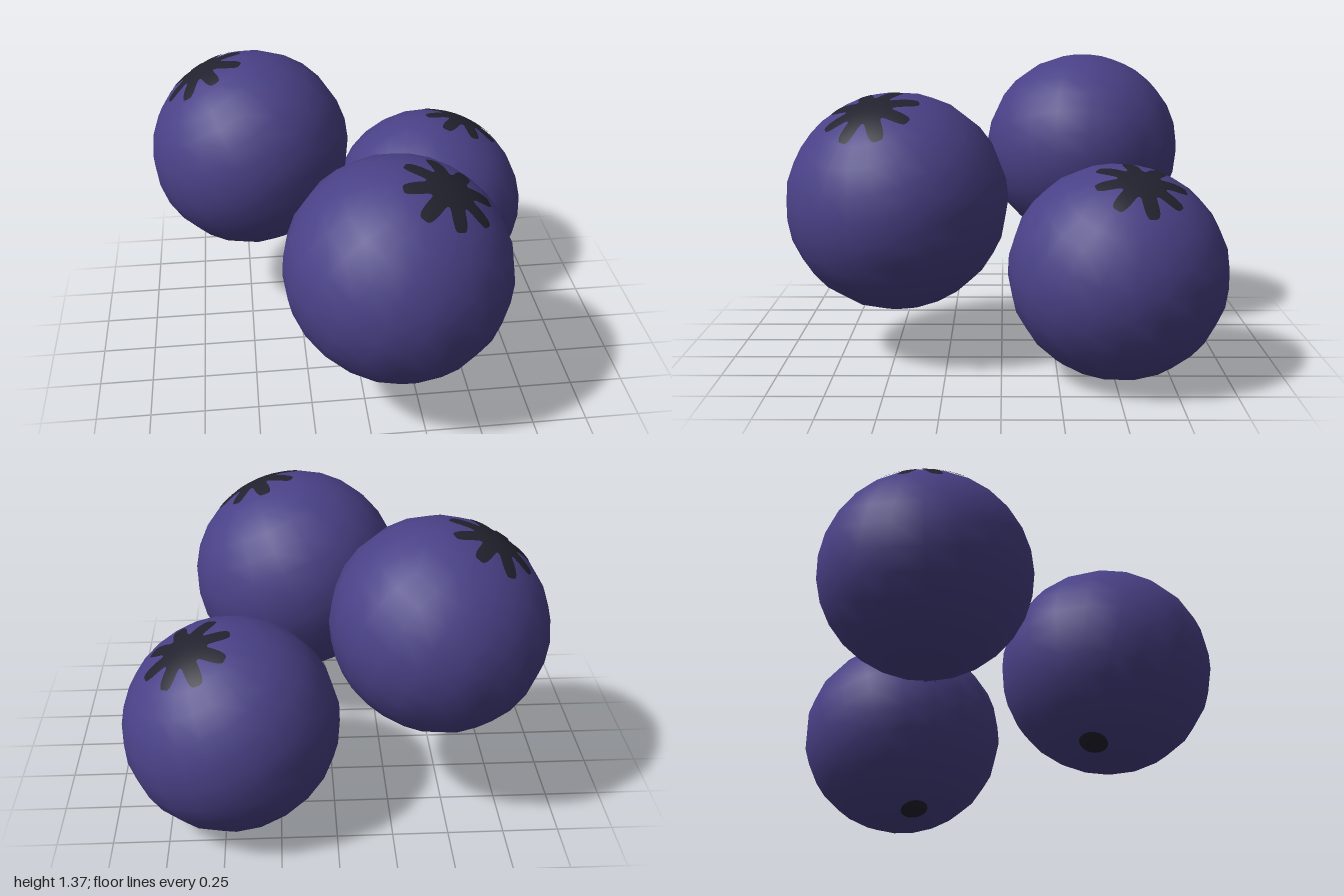
import * as THREE from 'three';

const skin = new THREE.MeshStandardMaterial({ color: 0x494187 });
skin.name = 'berry blue';
const dark = new THREE.MeshStandardMaterial({ color: 0x22222f });
dark.name = 'crown dark';

// Thin patch hugging a unit sphere's top; reach(angle) is its polar radius
function capPatch(reach) {
  const geo = new THREE.RingGeometry(0, 1, 192, 6);
  const pos = geo.attributes.position;
  const nor = geo.attributes.normal;
  for (let i = 0; i < pos.count; i++) {
    const x = pos.getX(i), y = pos.getY(i);
    const a = Math.atan2(y, x);
    const p = Math.hypot(x, y) * reach(a);
    const n = new THREE.Vector3(Math.sin(p) * Math.cos(a), Math.cos(p), -Math.sin(p) * Math.sin(a));
    nor.setXYZ(i, n.x, n.y, n.z);
    n.multiplyScalar(1.004);
    pos.setXYZ(i, n.x, n.y, n.z);
  }
  return geo;
}

// Eight rounded fingers, slightly uneven in length
function crownReach(phase) {
  return (a) => {
    const s = 0.5 + 0.5 * Math.cos(8 * (a - phase));
    const finger = Math.pow(THREE.MathUtils.smoothstep(s, 0, 0.95), 0.8);
    return 0.215 + finger * (0.215 + 0.018 * Math.sin(3 * a + phase * 9));
  };
}

function addPart(parent, name, geometry, material) {
  const mesh = new THREE.Mesh(geometry, material);
  mesh.name = name;
  parent.add(mesh);
  return mesh;
}

// centre, radius, direction of the crown, and turn of the crown about it
const berries = [
  { name: 'leftBackBerry', at: [-0.46, 0.895, -0.41], r: 0.486, axis: [-0.22, 0.42, -0.03], phase: 0.31 },
  { name: 'rightBackBerry', at: [0.46, 0.473, -0.513], r: 0.487, axis: [0.18, 0.43, -0.075], phase: 0.22 },
  { name: 'frontBerry', at: [0.148, 0.728, 0.483], r: 0.515, axis: [0.19, 0.44, 0.1], phase: 0.19 },
];

export function createModel() {
  const model = new THREE.Group();
  model.name = 'berryCluster';
  for (const b of berries) {
    const berry = new THREE.Group();
    berry.name = b.name;
    // Slightly flattened body
    addPart(berry, 'body', new THREE.SphereGeometry(1, 20, 14), skin);
    // Star-shaped crown on top, round stem scar underneath
    addPart(berry, 'crown', capPatch(crownReach(b.phase)), dark);
    addPart(berry, 'stemScar', capPatch(() => 0.13), dark).rotation.x = Math.PI;
    berry.scale.set(b.r, b.r * 0.965, b.r);
    berry.position.set(...b.at);
    berry.quaternion.setFromUnitVectors(
      new THREE.Vector3(0, 1, 0), new THREE.Vector3(...b.axis).normalize());
    model.add(berry);
  }
  return model;
}
